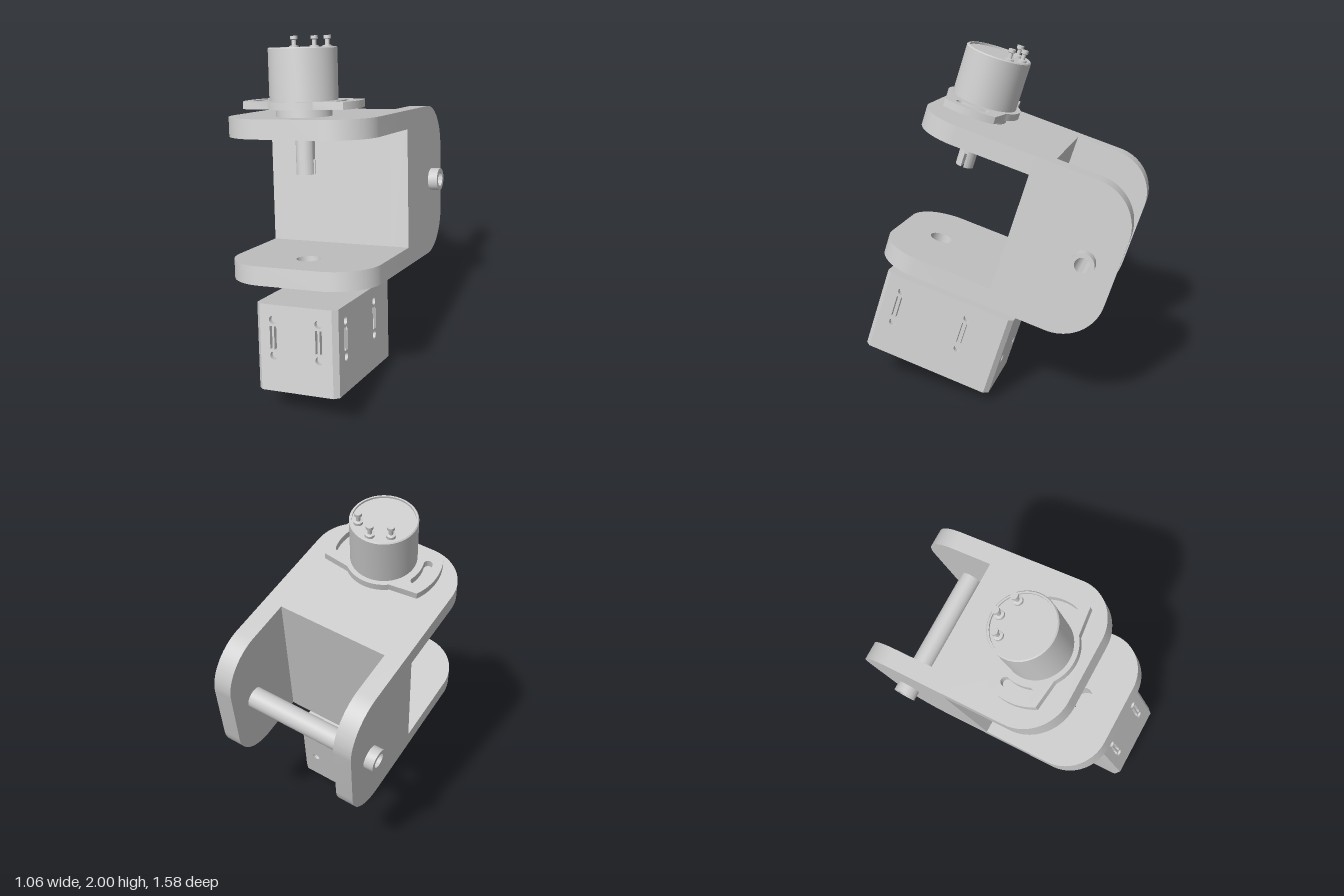
import * as THREE from 'three';
import { toCreasedNormals } from 'three/addons/utils/BufferGeometryUtils.js';

const mat = new THREE.MeshStandardMaterial({ color: 0xcccccc });

function add(parent, name, geo, x = 0, y = 0, z = 0) {
  const m = new THREE.Mesh(toCreasedNormals(geo, 0.6), mat);
  m.name = name;
  m.position.set(x, y, z);
  parent.add(m);
  return m;
}

const extrude = (shape, depth) =>
  new THREE.ExtrudeGeometry(shape, { depth, bevelEnabled: false, curveSegments: 20 });

// Horizontal slab: shape is (x, z), top face at y = 0
const slab = (shape, depth) => extrude(shape, depth).rotateX(Math.PI / 2);

const poly = pts => new THREE.Shape(pts.map(p => new THREE.Vector2(...p)));

function circle(x, y, r) {
  const p = new THREE.Path();
  p.absarc(x, y, r, 0, Math.PI * 2);
  return p;
}

function rect(x, y, w, h) {
  return new THREE.Path([[-1, -1], [1, -1], [1, 1], [-1, 1]].map(
    ([i, j]) => new THREE.Vector2(x + i * w / 2, y + j * h / 2)));
}

// Panel from y = y0 to y0 + len, rounded at the far corners
function tongue(w, y0, len, r) {
  const s = new THREE.Shape(), h = w / 2, y1 = y0 + len;
  s.moveTo(-h, y0);
  s.lineTo(h, y0);
  s.lineTo(h, y1 - r);
  s.absarc(h - r, y1 - r, r, 0, Math.PI / 2);
  s.lineTo(-h + r, y1);
  s.absarc(-h + r, y1 - r, r, Math.PI / 2, Math.PI);
  s.closePath();
  return s;
}

const W = 0.85, H = 0.883, T = 0.105, AXIS = 0.43;

function makeBracket() {
  const g = new THREE.Group();
  g.name = 'bracket';
  // Upper and lower plates
  for (const [name, y, r] of [['upperPlate', H / 2, 0.08], ['lowerPlate', -H / 2 + T, 0.065]]) {
    const s = tongue(W, 0, 0.68, 0.25);
    s.holes.push(circle(0, AXIS, r));
    add(g, name, slab(s, T), 0, y, 0);
  }
  // Web joining the plates and wings
  add(g, 'web', new THREE.BoxGeometry(W - 2 * T, H, 0.098), 0, 0, -0.049);
  // Side wings carrying the axle
  for (const side of [-1, 1]) {
    const s = tongue(H, 0, 0.6, 0.25);
    s.holes.push(circle(0, 0.42, 0.06));
    const geo = extrude(s, T).rotateZ(Math.PI / 2).rotateY(Math.PI / 2).rotateY(Math.PI);
    // wing runs back along -z
    geo.rotateY(Math.PI);
    geo.computeBoundingBox();
    const b = geo.boundingBox;
    if (b.max.z > 0.3) geo.rotateY(Math.PI);
    geo.computeBoundingBox();
    add(g, 'wing', geo, side * (W - T) / 2 - (geo.boundingBox.min.x + geo.boundingBox.max.x) / 2);
  }
  // Hollow axle with collars outside the wings
  const e = 0.48, k = W / 2;
  const axle = [[0.042, -e], [0.066, -e], [0.066, -k], [0.06, -k], [0.06, k], [0.066, k], [0.066, e], [0.042, e], [0.042, -e]];
  add(g, 'axle', new THREE.LatheGeometry(axle.map(p => new THREE.Vector2(...p)), 32).rotateZ(-Math.PI / 2), 0, 0, -0.42);
  return g;
}

// Mounting flange with two curved slots
function flangeShape() {
  const s = new THREE.Shape(), a = Math.atan2(0.145, 0.288), R = Math.hypot(0.145, 0.288), m = 0.9;
  s.absarc(0, 0, R, -a, a);
  s.absarc(0, 0, 0.21, m, Math.PI - m);
  s.absarc(0, 0, R, Math.PI - a, Math.PI + a);
  s.absarc(0, 0, 0.21, Math.PI + m, 2 * Math.PI - m);
  s.closePath();
  for (const c of [0, Math.PI]) {
    const p = new THREE.Path(), d = 0.29, r = 0.246;
    p.absarc(0, 0, 0.27, c - d, c + d);
    p.absarc(r * Math.cos(c + d), r * Math.sin(c + d), 0.024, c + d, c + d + Math.PI);
    p.absarc(0, 0, 0.222, c + d, c - d, true);
    p.absarc(r * Math.cos(c - d), r * Math.sin(c - d), 0.024, c - d + Math.PI, c - d + 2 * Math.PI);
    s.holes.push(p);
  }
  return s;
}

function makeSensor() {
  const g = new THREE.Group();
  g.name = 'rotarySensor';
  g.position.z = AXIS;
  // Can with a rim around its recessed lid, standing on a boss
  const can = [[0, 0.44], [0.15, 0.44], [0.15, 0.5], [0.183, 0.5], [0.183, 0.797], [0.177, 0.803], [0.168, 0.803], [0.168, 0.792], [0, 0.792]];
  add(g, 'can', new THREE.LatheGeometry(can.map(p => new THREE.Vector2(...p)), 48));
  add(g, 'flange', slab(flangeShape(), 0.04), 0, 0.525, 0);
  // Shaft with a slotted tip
  add(g, 'shaft', new THREE.CylinderGeometry(0.051, 0.051, 0.24, 32), 0, 0.33, 0);
  for (const c of [0, Math.PI]) {
    const s = new THREE.Shape();
    s.absarc(0, 0, 0.051, c + 0.14, c + Math.PI - 0.14);
    s.closePath();
    add(g, 'shaftTip', slab(s, 0.08), 0, 0.21, 0);
  }
  // Terminals
  const post = [[0, 0], [0.026, 0], [0.026, 0.018], [0.012, 0.022], [0.012, 0.05], [0.02, 0.054], [0.02, 0.072], [0, 0.072]];
  for (const [x, z] of [[-0.092, -0.085], [0.005, -0.135], [0.105, -0.085]])
    add(g, 'terminal', new THREE.LatheGeometry(post.map(p => new THREE.Vector2(...p)), 16), x, 0.79, z);
  return g;
}

function makeServo() {
  const w = 0.48, d = 0.78, h = 0.485, c = 0.027, cover = 0.04;
  const g = new THREE.Group();
  g.name = 'servo';
  g.position.set(0.005, -0.555, 0.235);
  const ph = h - cover, cy = -ph / 2;
  add(g, 'core', new THREE.BoxGeometry(w - 2 * c, ph, d - 2 * c), 0, cy, 0);
  // Chamfered vertical corners
  for (const i of [-1, 1]) for (const j of [-1, 1])
    add(g, 'cornerPost', new THREE.CylinderGeometry(c, c, ph, 4), i * (w / 2 - c), cy, j * (d / 2 - c));
  // Four side panels with screw holes and vents
  const panel = (name, width, half, angle, xs, vents) => {
    const a = width / 2 - c, b = ph / 2, s = poly([[-a, -b], [a, -b], [a, b], [-a, b]]);
    const mid = -0.185 - cy;
    for (const x of xs) {
      if (!vents) { s.holes.push(circle(x, mid - 0.1, 0.022)); continue; }
      for (const k of [-1, 1]) {
        s.holes.push(circle(x, mid + k * 0.1, 0.022), rect(x + k * 0.013, mid, 0.014, 0.13));
      }
    }
    add(g, name, extrude(s, c).translate(0, 0, half - c).rotateY(angle), 0, cy, 0);
  };
  panel('frontPanel', w, d / 2, 0, [-0.135, 0.135], true);
  panel('backPanel', w, d / 2, Math.PI, [-0.135, 0.135], false);
  panel('leftPanel', d, w / 2, Math.PI / 2, [-0.27, 0.14], true);
  panel('rightPanel', d, w / 2, -Math.PI / 2, [-0.14, 0.27], true);
  // Bottom cover: round recess, connector slot and corner screw holes
  const x = w / 2, z = d / 2, oct = poly([[-x, -z + c], [-x + c, -z], [x - c, -z], [x, -z + c],
    [x, z - c], [x - c, z], [-x + c, z], [-x, z - c]]);
  const ax = AXIS - 0.235;
  oct.holes.push(circle(0, ax, 0.165), rect(0, -z + 0.11, 0.24, 0.07));
  for (const i of [-1, 1]) for (const j of [-1, 1])
    oct.holes.push(circle(i * (x - 0.045), j * (z - 0.045), 0.033));
  add(g, 'bottomCover', slab(oct, cover), 0, -ph, 0);
  // Ring plate in the recess leaves a central bore
  const ring = new THREE.Shape();
  ring.absarc(0, 0, 0.165, 0, Math.PI * 2);
  ring.holes.push(circle(0, 0, 0.05));
  add(g, 'recessRing', slab(ring, 0.012), 0, -ph, ax);
  return g;
}

export function createModel() {
  // Whole assembly is tilted: build it square, then turn it
  const front = new THREE.Vector3(0.0815, 0.273, 0.959).normalize();
  const up = front.clone().cross(new THREE.Vector3(0.981, 0.147, -0.1255)).normalize();
  const side = up.clone().cross(front);
  const body = new THREE.Group();
  body.name = 'tiltedAssembly';
  body.quaternion.setFromRotationMatrix(new THREE.Matrix4().makeBasis(side, up, front));
  body.position.set(-0.006, 1.065, -0.108);
  body.add(makeBracket(), makeSensor(), makeServo());
  const model = new THREE.Group();
  model.name = 'servoBracketAssembly';
  model.add(body);
  return model;
}
